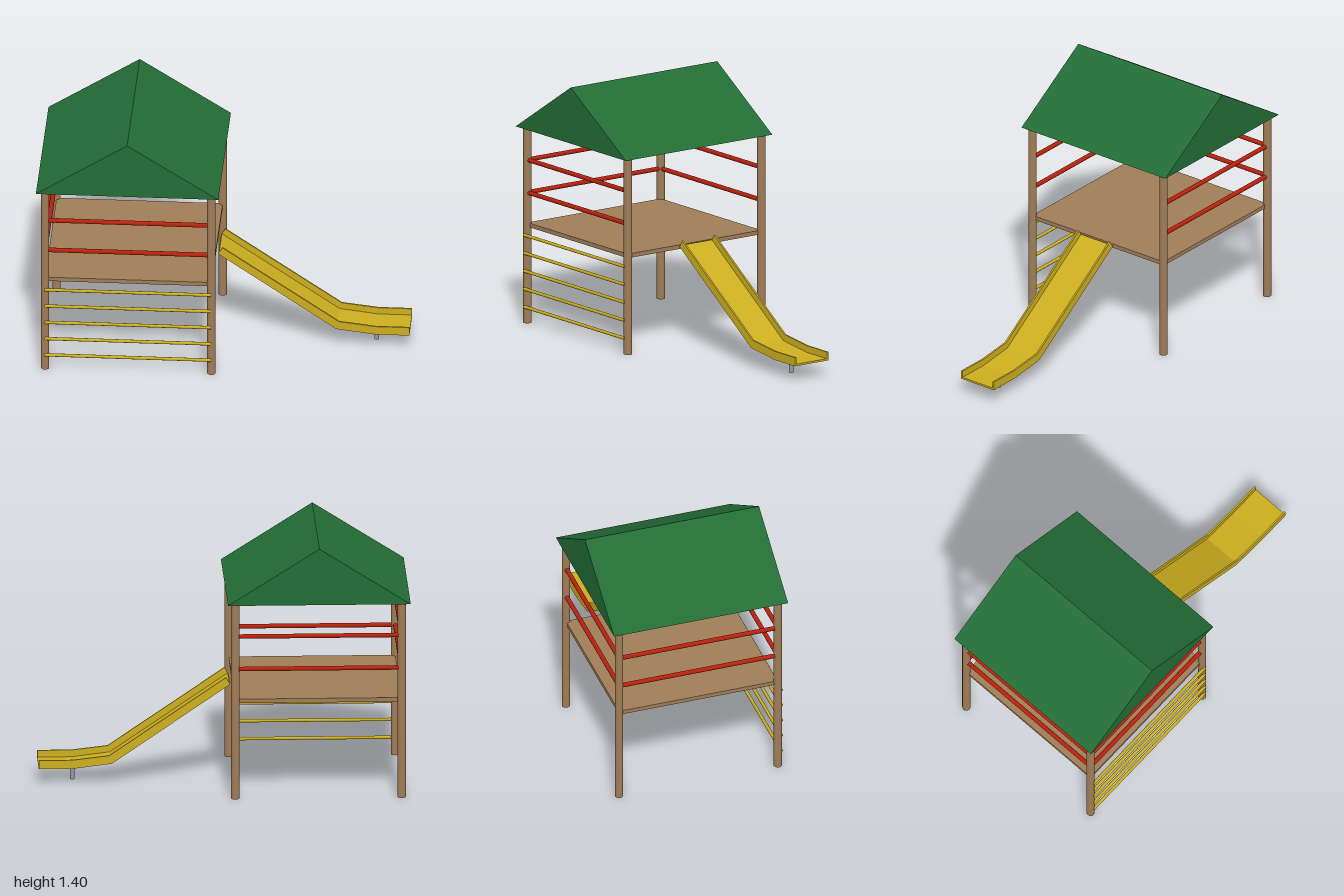
import * as THREE from 'three';

const mat = (name, color) => {
  const m = new THREE.MeshStandardMaterial({ color });
  m.name = name;
  return m;
};

export function createModel() {
  const model = new THREE.Group();
  model.name = 'playTower';
  const green = mat('roof green', 0x236d36);
  const wood = mat('wood brown', 0xa07d58);
  const red = mat('rail red', 0xb8210d);
  const yellow = mat('slide yellow', 0xccae20);
  const grey = mat('metal grey', 0x969aa2);

  const add = (name, geometry, material, x = 0, y = 0, z = 0) => {
    const mesh = new THREE.Mesh(geometry, material);
    mesh.name = name;
    mesh.position.set(x, y, z);
    model.add(mesh);
    return mesh;
  };
  // Prism from an outline in x and y, running from z0 to z1
  const prism = (name, points, z0, z1, material) => {
    const shape = new THREE.Shape(points.map(([x, y]) => new THREE.Vector2(x, y)));
    const geometry = new THREE.ExtrudeGeometry(shape, { depth: z1 - z0, bevelEnabled: false });
    return add(name, geometry, material, 0, 0, z0);
  };
  // Round bar lying along x or z
  const bar = (name, axis, length, radius, material, x, y, z) => {
    const mesh = add(name, new THREE.CylinderGeometry(radius, radius, length, 12), material, x, y, z);
    if (axis === 'x') mesh.rotation.z = Math.PI / 2;
    else mesh.rotation.x = Math.PI / 2;
  };

  const xL = -0.953, xR = -0.051, xMid = (xL + xR) / 2, zPost = 0.453;
  const width = xR - xL;

  // Corner posts
  for (const x of [xL, xR])
    for (const z of [-zPost, zPost])
      add('post', new THREE.CylinderGeometry(0.0225, 0.0225, 1.09, 12), wood, x, 0.545, z);

  // Deck
  add('deck', new THREE.BoxGeometry(width, 0.023, zPost * 2), wood, xMid, 0.545, 0);

  // Guard rails on three sides, open towards the slide
  for (const y of [0.725, 0.907]) {
    for (const z of [-zPost, zPost]) bar('guardRail', 'x', width, 0.0125, red, xMid, y, z);
    bar('guardRail', 'z', zPost * 2, 0.0125, red, xL, y, 0);
  }

  // Climbing rungs on the front
  for (let i = 0; i < 5; i++)
    bar('rung', 'x', width, 0.009, yellow, xMid, 0.09 + i * 0.1, zPost + 0.021);

  // Solid gable roof
  prism('roof', [[-1, 1.09], [-0.01, 1.09], [-0.505, 1.403]], -0.497, 0.497, green);

  // Slide: thin bed between two side walls
  const bottom = [[-0.037, 0.55], [0.604, 0.112], [0.814, 0.086], [1, 0.086]];
  const top = [[-0.014, 0.588], [0.619, 0.157], [0.817, 0.134], [1, 0.134]];
  const bedTop = bottom.map(([x, y], i) => [x + (top[i][0] - x) * 0.22, y + (top[i][1] - y) * 0.22]);
  prism('slideBed', [...bottom, ...bedTop.reverse()], -0.103, 0.103, yellow);
  const wall = [...bottom, ...top.reverse()];
  prism('slideWall', wall, 0.103, 0.113, yellow);
  prism('slideWall', wall, -0.113, -0.103, yellow);

  // Slide foot
  add('slideFoot', new THREE.CylinderGeometry(0.0125, 0.0125, 0.088, 12), grey, 0.815, 0.044, 0);

  return model;
}
